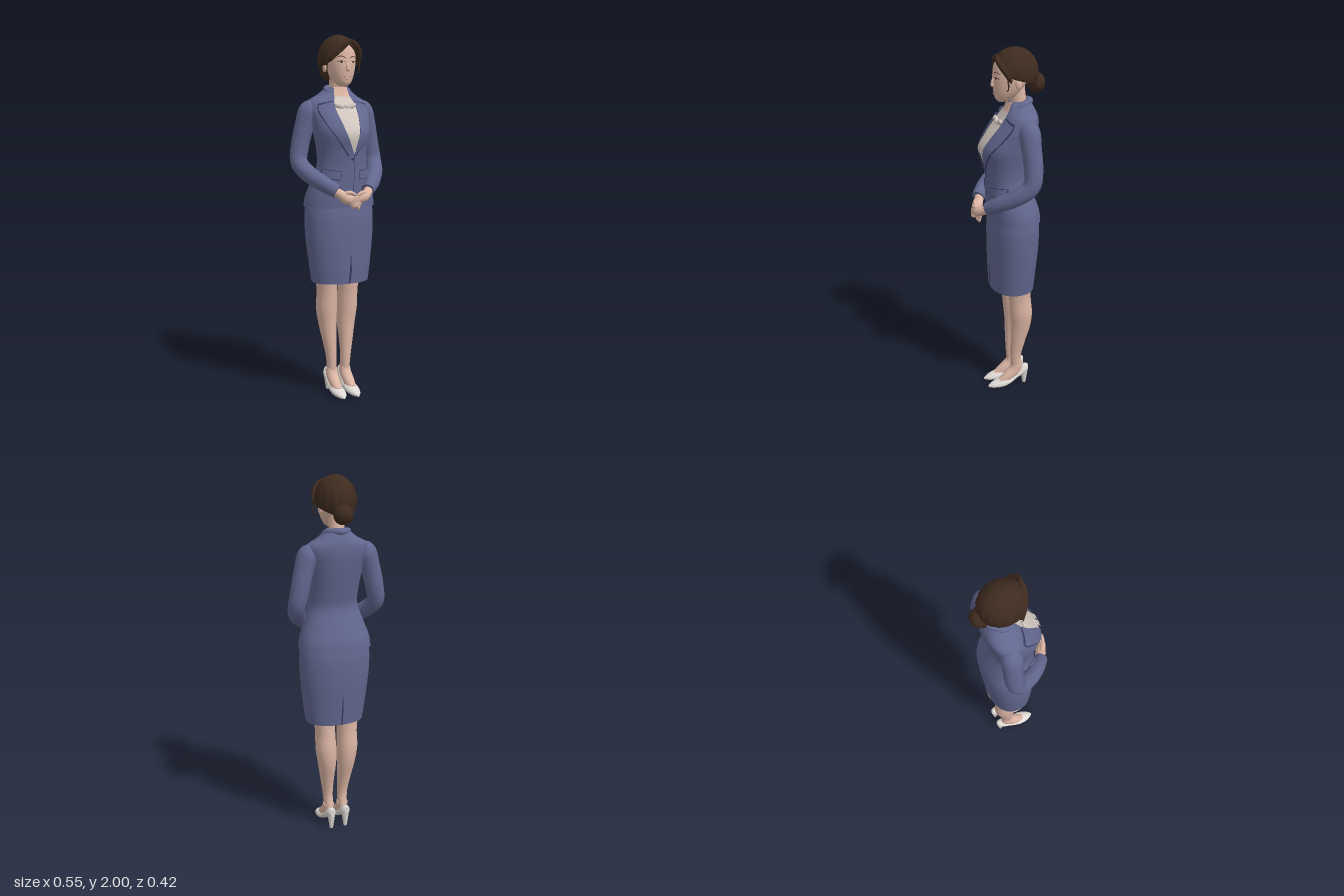
import * as THREE from 'three';

const mat = (name, color, side = THREE.FrontSide) => {
  const m = new THREE.MeshStandardMaterial({ color, side });
  m.name = name;
  return m;
};
const M = {
  suit: mat('suit blue', 0x62678f, THREE.DoubleSide),
  seam: mat('seam blue', 0x363a5c, THREE.DoubleSide),
  skin: mat('skin', 0xdcb5a4, THREE.DoubleSide),
  hair: mat('hair brown', 0x3e2b1f, THREE.DoubleSide),
  blouse: mat('blouse cream', 0xd2c8c0, THREE.DoubleSide),
  shoe: mat('shoe ivory', 0xdfdad5),
  white: mat('eye white', 0xeee6e2, THREE.DoubleSide),
  lip: mat('lip rose', 0xb9756c, THREE.DoubleSide),
};
const V = (x, y, z) => new THREE.Vector3(x, y, z);

// Skin closed rings of points, with separate end caps for crisp rims
function loft(rings) {
  const pos = [], idx = [], n = rings[0].length;
  rings.forEach(r => r.forEach(p => pos.push(p.x, p.y, p.z)));
  for (let i = 0; i < rings.length - 1; i++)
    for (let j = 0; j < n; j++) {
      const a = i * n + j, b = i * n + (j + 1) % n;
      idx.push(a, a + n, b, b, a + n, b + n);
    }
  [rings[0], rings[rings.length - 1]].forEach((r, end) => {
    const s = pos.length / 3, c = V(0, 0, 0);
    r.forEach(p => { pos.push(p.x, p.y, p.z); c.addScaledVector(p, 1 / n); });
    pos.push(c.x, c.y, c.z);
    for (let j = 0; j < n; j++) {
      const a = s + j, b = s + (j + 1) % n;
      end ? idx.push(s + n, b, a) : idx.push(s + n, a, b);
    }
  });
  return geometry(pos, idx);
}
function geometry(pos, idx) {
  const g = new THREE.BufferGeometry();
  g.setAttribute('position', new THREE.Float32BufferAttribute(pos, 3));
  g.setIndex(idx);
  g.computeVertexNormals();
  return g;
}
// Smoothly resample a table of section rows
function smooth(rows, k = 5) {
  const out = [], at = i => rows[Math.max(0, Math.min(rows.length - 1, i))];
  for (let i = 0; i < rows.length - 1; i++)
    for (let s = 0; s < k; s++) {
      const t = s / k;
      out.push(rows[i].map((_, c) => {
        const [p, q, r, w] = [at(i - 1)[c], at(i)[c], at(i + 1)[c], at(i + 2)[c]];
        return q + 0.5 * t * (r - p + t * (2 * p - 5 * q + 4 * r - w + t * (3 * (q - r) + w - p)));
      }));
    }
  out.push(rows[rows.length - 1]);
  return out;
}
const around = (n, f) => Array.from({ length: n }, (_, j) => f(j / n * Math.PI * 2));

// Upright body from rows [y, half width, front z, back z], centred on cx (optional 5th column)
function body(rows, e = 2.2) {
  const tab = smooth(rows);
  const rings = tab.map(([y, w, f, b, cx = 0]) => around(40, a => {
    const c = Math.cos(a), s = Math.sin(a);
    const r = (Math.abs(c) ** e + Math.abs(s) ** e) ** (-1 / e);
    return V(cx + w * r * c, y, (f + b) / 2 + (f - b) / 2 * r * s);
  }));
  const surface = (x, y, side = 1) => {
    let i = tab.findIndex(t => t[0] >= y);
    i = i < 0 ? tab.length - 1 : Math.max(i, 1);
    const t = Math.min(1, Math.max(0, (y - tab[i - 1][0]) / (tab[i][0] - tab[i - 1][0])));
    const [, w, f, b] = tab[i].map((v, c) => tab[i - 1][c] + (v - tab[i - 1][c]) * t);
    const u = Math.min(0.97, Math.abs(x) / w);
    return (f + b) / 2 + side * (f - b) / 2 * (1 - u ** e) ** (1 / e);
  };
  return { geo: loft(rings), surface };
}
// Thin panel hugging a body, ruled between two edges of [x, y] points
function panel(surface, left, right, off, side = 1) {
  const L = smooth(left, 6), R = smooth(right, 6), n = 10, pos = [], idx = [];
  L.forEach((p, i) => {
    for (let j = 0; j <= n; j++) {
      const x = p[0] + (R[i][0] - p[0]) * j / n, y = p[1] + (R[i][1] - p[1]) * j / n;
      pos.push(x, y, surface(x, y, side) + off * side);
      if (i && j) {
        const d = i * (n + 1) + j, u = d - n - 1;
        idx.push(u - 1, d - 1, u, u, d - 1, d);
      }
    }
  });
  return geometry(pos, idx);
}
// Round limb through [x, y, z, radius] points
function limb(pts, n = 16, k = 6) {
  const rows = smooth(pts, k);
  const curve = new THREE.CatmullRomCurve3(rows.map(p => V(p[0], p[1], p[2])));
  curve.getUtoTmapping = u => u;
  const { normals: N, binormals: B } = curve.computeFrenetFrames(rows.length - 1);
  return loft(rows.map((p, i) => around(n, a => V(p[0], p[1], p[2])
    .addScaledVector(B[i], p[3] * Math.cos(a)).addScaledVector(N[i], p[3] * Math.sin(a)))));
}
const flip = (pts, s) => pts.map(([x, ...r]) => [x * s, ...r]);

export function createModel() {
  const model = new THREE.Group();
  model.name = 'standing woman in suit';
  const add = (name, geo, m) => {
    const mesh = new THREE.Mesh(geo, m);
    mesh.name = name;
    model.add(mesh);
    return mesh;
  };
  const ball = (name, m, p, r) => {
    const b = add(name, new THREE.SphereGeometry(1, 24, 16), m);
    b.position.set(...p);
    b.scale.set(...r);
    return b;
  };

  // Jacket and skirt
  const jacket = body([[1.07, .203, .108, -.172], [1.13, .195, .11, -.163], [1.21, .168, .113, -.135],
    [1.3, .14, .116, -.106], [1.38, .14, .124, -.117], [1.47, .155, .138, -.135], [1.54, .165, .102, -.147],
    [1.6, .175, .055, -.154], [1.645, .165, .022, -.152], [1.68, .105, .002, -.143], [1.72, .056, -.01, -.122]]);
  add('jacket', jacket.geo, M.suit);
  const skirt = body([[.65, .163, .1, -.142], [.75, .177, .104, -.15], [.9, .194, .106, -.163],
    [1.02, .198, .104, -.166], [1.11, .188, .09, -.155]]);
  add('skirt', skirt.geo, M.suit);
  add('frontSlit', panel(skirt.surface, [[.004, .81], [.0, .72], [-.006, .652]], [[.007, .81], [.012, .72], [.004, .652]], .003), M.seam);
  add('backSlit', panel(skirt.surface, [[-.002, .82], [-.005, .652]], [[.002, .82], [.006, .652]], .003, -1), M.seam);

  // Neckline, blouse and front closure
  const J = jacket.surface;
  add('chest', panel(J, [[-.04, 1.72], [-.05, 1.63]], [[.04, 1.72], [.05, 1.63]], .006), M.skin);
  add('blouse', panel(J, [[-.046, 1.67], [-.068, 1.6], [-.045, 1.5], [.014, 1.365]],
    [[.046, 1.67], [.068, 1.6], [.055, 1.5], [.022, 1.365]], .009), M.blouse);
  add('frontSeam', panel(J, [[.015, 1.365], [.018, 1.2], [.012, 1.08]], [[.018, 1.365], [.021, 1.2], [.016, 1.08]], .003), M.seam);
  ball('button', M.seam, [.008, 1.335, J(0, 1.335) + .004], [.007, .007, .005]);
  for (const s of [1, -1]) {
    const strip = (name, a, b, off, m) => add(name, panel(J, flip(a, s), flip(b, s), off), m);
    // Lapels with a notch, each over a slightly wider dark edge
    strip('lapelEdge', [[.058, 1.648], [.062, 1.59], [.046, 1.5], [.014, 1.358]],
      [[.145, 1.63], [.15, 1.585], [.114, 1.49], [.024, 1.352]], .01, M.seam);
    strip('lapel', [[.058, 1.645], [.062, 1.59], [.045, 1.5], [.014, 1.36]],
      [[.145, 1.622], [.145, 1.585], [.11, 1.49], [.02, 1.358]], .014, M.suit);
    strip('collarFront', [[.04, 1.715], [.048, 1.69], [.056, 1.652]], [[.06, 1.715], [.085, 1.69], [.118, 1.65]], .012, M.suit);
    strip('pocketEdge', [[.052, 1.272], [.054, 1.222]], [[.142, 1.284], [.146, 1.232]], .005, M.seam);
    strip('pocketFlap', [[.055, 1.27], [.057, 1.227]], [[.14, 1.281], [.143, 1.236]], .009, M.suit);
    // Bow and ribbon tails
    const bow = ball('bowLoop', M.blouse, [s * .032, 1.618, J(.03, 1.618) + .012], [.032, .016, .012]);
    bow.rotation.z = s * .25;
    strip('bowTail', [[.002, 1.61], [.006, 1.53], [.0, 1.45]], [[.016, 1.61], [.03, 1.53], [.036, 1.47]], .018, M.blouse);
  }
  ball('bowKnot', M.blouse, [0, 1.615, J(0, 1.615) + .016], [.013, .015, .011]);
  add('collarBack', limb([[.058, 1.69, -.02, .014], [.058, 1.708, -.07, .018], [0, 1.715, -.122, .019],
    [-.058, 1.708, -.07, .018], [-.058, 1.69, -.02, .014]]), M.suit);

  // Arms, clasped hands, legs and shoes
  for (const s of [1, -1]) {
    const part = (name, pts, m, n) => add(name, limb(flip(pts, s), n), m);
    part('sleeve', [[.13, 1.622, -.065, .03], [.162, 1.594, -.066, .056], [.19, 1.51, -.07, .053], [.215, 1.4, -.074, .05],
      [.227, 1.315, -.058, .047], [.2, 1.255, .01, .046], [.145, 1.205, .088, .042], [.092, 1.167, .138, .036]], M.suit, 24);
    const dz = s > 0 ? .008 : -.012, dy = s > 0 ? .004 : -.006;
    part('hand', [[.105, 1.172, .126, .026], [.075, 1.152, .152 + dz, .025], [.045, 1.135 + dy, .17 + dz, .03],
      [.018, 1.122 + dy, .176 + dz, .023], [.005, 1.115 + dy, .175 + dz, .014]], M.skin);
    for (let f = 0; f < 4; f++) {
      const o = f * .014;
      part('finger', [[.03 - o * .3, 1.146 - o + dy, .182 + dz, .01], [-.005 - o * .2, 1.133 - o + dy, .186 + dz, .0095],
        [-.034 + o * .3, 1.113 - o * .8 + dy, .178 + dz, .008], [-.042 + o * .4, 1.105 - o * .7 + dy, .172 + dz, .004]], M.skin, 10);
    }
    part('thumb', [[.055, 1.16, .178 + dz, .011], [.028, 1.162, .187 + dz, .011], [.004, 1.15, .188 + dz, .008], [-.002, 1.146, .187 + dz, .004]], M.skin, 10);

    add('leg', body([[.09, .025, -.008, -.088, .042], [.13, .027, -.01, -.078, .042], [.2, .029, -.006, -.07, .045],
      [.3, .039, -.004, -.092, .052], [.4, .051, -.003, -.119, .058], [.49, .058, .004, -.126, .064],
      [.6, .056, .012, -.116, .066], [.74, .07, .03, -.115, .076]].map(r => [...r.slice(0, 4), r[4] * s]), 2).geo, M.skin);
    part('foot', [[.042, .135, -.045, .032], [.043, .098, -.03, .033], [.044, .06, .012, .031], [.045, .032, .055, .022]], M.skin);
    // Pump: oval sections along z as [z, half width, bottom, top]
    const shoe = smooth([[-.112, .012, .08, .122], [-.1, .023, .065, .128], [-.075, .029, .056, .118], [-.04, .031, .043, .083],
      [0, .036, .017, .06], [.04, .04, .002, .054], [.08, .034, 0, .041], [.11, .021, .001, .029], [.13, .005, .005, .016]]);
    add('shoe', loft(shoe.map(([z, w, b, t]) => around(24, a =>
      V(s * .044 + w * Math.sin(a), (b + t) / 2 + (t - b) / 2 * Math.cos(a), z)))), M.shoe);
    const heel = add('shoeHeel', new THREE.CylinderGeometry(.023, .01, .088, 16), M.shoe);
    heel.position.set(s * .043, .044, -.091);
  }

  // Head, neck and face
  add('neck', limb([[0, 1.61, -.072, .05], [0, 1.7, -.062, .043], [0, 1.8, -.048, .045]], 24), M.skin);
  const head = body([[1.722, .018, .05, .005], [1.742, .042, .066, -.035], [1.78, .064, .073, -.075], [1.83, .079, .077, -.11],
    [1.88, .085, .075, -.13], [1.93, .079, .064, -.135], [1.97, .05, .03, -.1]], 2.1);
  add('head', head.geo, M.skin);
  const nose = ball('nose', M.skin, [0, 1.826, .076], [.011, .027, .012]);
  nose.rotation.x = -.25;
  ball('noseTip', M.skin, [0, 1.812, .081], [.012, .009, .01]);
  const H = head.surface;
  add('lips', panel(H, [[-.026, 1.78], [0, 1.772], [.026, 1.78]], [[-.026, 1.779], [0, 1.757], [.026, 1.779]], .003), M.lip);
  add('teeth', panel(H, [[-.02, 1.776], [0, 1.769], [.02, 1.776]], [[-.02, 1.775], [0, 1.762], [.02, 1.775]], .005), M.white);
  for (const s of [1, -1]) {
    const feature = (name, a, b, off, m) => add(name, panel(H, flip(a, s), flip(b, s), off), m);
    feature('eye', [[.018, 1.849], [.034, 1.856], [.052, 1.851]], [[.018, 1.848], [.034, 1.845], [.052, 1.85]], .002, M.white);
    feature('iris', [[.03, 1.855], [.04, 1.855]], [[.03, 1.846], [.04, 1.846]], .004, M.hair);
    feature('lash', [[.016, 1.849], [.034, 1.858], [.055, 1.852]], [[.016, 1.848], [.034, 1.855], [.055, 1.849]], .005, M.hair);
    feature('brow', [[.014, 1.876], [.036, 1.884], [.06, 1.875]], [[.014, 1.872], [.036, 1.88], [.06, 1.874]], .003, M.hair);
    ball('ear', M.skin, [s * .084, 1.825, -.035], [.01, .027, .017]);
    // Swept fringe and loose strands
    add('fringe', limb([[.022, 1.968, .062, .008], [.022 + s * .03, 1.945, .066, .014], [.012 + s * .072, 1.905, .045, .016],
      [s * .097, 1.86, .018, .012], [s * .094, 1.835, .008, .003]], 12), M.hair);
    add('looseStrand', limb([[s * .094, 1.86, .026, .005], [s * .097, 1.81, .024, .003], [s * .08, s > 0 ? 1.79 : 1.755, .028, .0015]], 8), M.hair);
  }

  // Hair cap: shallow combed waves, with the hairline rising over the face
  const hairline = d => d < 1 ? .95 + .7 * d : 1.65 + .65 * (d - 1) / 2.14;
  const rings = [];
  for (let i = -1; i <= 20; i++) {
    const t = i < 0 ? 1 : 1 - i / 20.5, k = i < 0 ? .82 : 1;
    rings.push(around(96, a => {
      const d = Math.abs(Math.atan2(Math.cos(a), Math.sin(a)) - .18);
      const p = t * hairline(Math.min(d, Math.PI));
      const r = k * Math.sin(p) * (1 + .012 * Math.sin(a * 16) * Math.sin(p));
      return V(.108 * r * Math.cos(a), 1.87 + .13 * Math.cos(p), -.04 + .126 * r * Math.sin(a));
    }));
  }
  add('hair', loft(rings), M.hair);

  // Bun with wrapped coils
  ball('bun', M.hair, [0, 1.808, -.158], [.05, .053, .048]);
  for (const [z, r] of [[-.15, .04], [-.178, .026]]) {
    const coil = add('bunCoil', new THREE.TorusGeometry(r, .015, 12, 32), M.hair);
    coil.position.set(0, 1.808, z);
  }
  return model;
}
